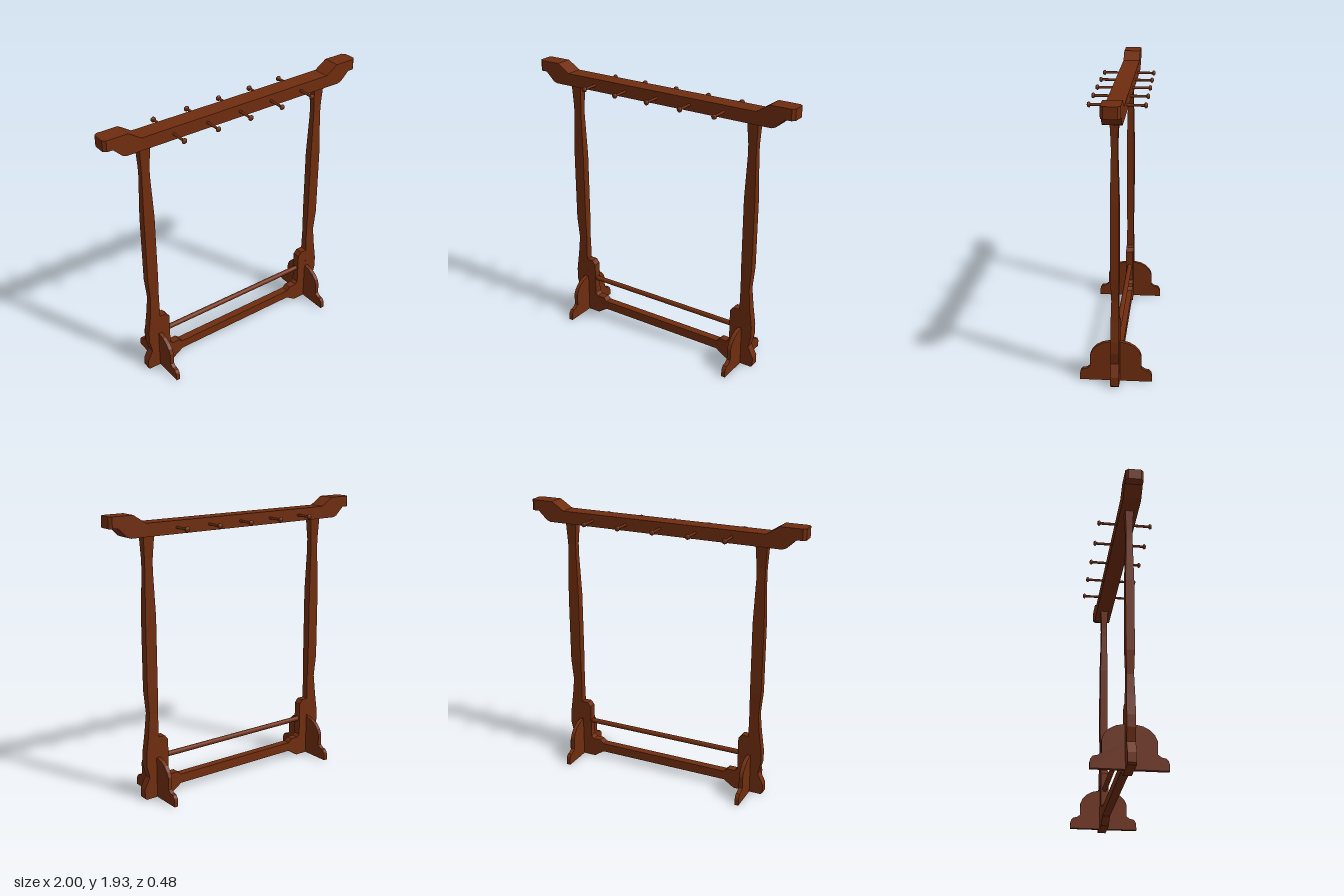
import * as THREE from 'three';

const wood = new THREE.MeshStandardMaterial({ color: 0x6f2d0f, flatShading: true });
const smoothWood = new THREE.MeshStandardMaterial({ color: 0x6f2d0f });

function addMesh(parent, name, geometry, material = wood) {
  const mesh = new THREE.Mesh(geometry, material);
  mesh.name = name;
  parent.add(mesh);
  return mesh;
}

// Joins four-cornered sections into a closed solid.
function loft(sections) {
  const pos = [];
  const quad = (a, b, c, d) => [a, b, c, a, c, d].forEach((p) => pos.push(...p));
  for (let i = 0; i < sections.length - 1; i++) {
    for (let j = 0; j < 4; j++) {
      const k = (j + 1) % 4;
      quad(sections[i][j], sections[i][k], sections[i + 1][k], sections[i + 1][j]);
    }
  }
  quad(...[...sections[0]].reverse());
  quad(...sections[sections.length - 1]);
  const g = new THREE.BufferGeometry();
  g.setAttribute('position', new THREE.Float32BufferAttribute(pos, 3));
  g.computeVertexNormals();
  return g;
}

// Extrudes half an outline mirrored about x = 0, centred in depth.
function mirroredSlab(half, depth) {
  const other = half.map(([x, y]) => [-x, y]).reverse();
  const shape = new THREE.Shape([...half, ...other].map(([x, y]) => new THREE.Vector2(x, y)));
  const g = new THREE.ExtrudeGeometry(shape, { depth, bevelEnabled: false });
  return g.translate(0, 0, -depth / 2);
}

export function createModel() {
  const rack = new THREE.Group();
  rack.name = 'hangingRack';

  // Top beam with raised ends: x, bottom, top, half depth
  const end = [
    [-1, 1.86, 1.935, 0.042],
    [-0.98, 1.86, 1.935, 0.06],
    [-0.94, 1.86, 1.935, 0.06],
    [-0.877, 1.8, 1.935, 0.06],
    [-0.85, 1.79, 1.935, 0.06],
    [-0.83, 1.79, 1.935, 0.06],
    [-0.74, 1.79, 1.877, 0.06],
  ];
  const stations = [...end, ...end.map(([x, ...r]) => [-x, ...r]).reverse()];
  addMesh(rack, 'topBeam', loft(stations.map(([x, lo, hi, z]) =>
    [[x, hi, -z], [x, hi, z], [x, lo, z], [x, lo, -z]])));

  // Shaped posts: y, inner x, outer x, half depth
  const postProfile = [
    [0, 0.663, 0.77, 0.028],
    [0.012, 0.663, 0.782, 0.028],
    [0.075, 0.663, 0.782, 0.028],
    [0.155, 0.663, 0.742, 0.028],
    [0.24, 0.663, 0.762, 0.028],
    [0.32, 0.663, 0.762, 0.028],
    [0.46, 0.663, 0.742, 0.027],
    [0.6, 0.663, 0.729, 0.023],
    [0.76, 0.663, 0.743, 0.028],
    [1.26, 0.663, 0.743, 0.028],
    [1.57, 0.675, 0.734, 0.021],
    [1.64, 0.674, 0.735, 0.021],
    [1.795, 0.663, 0.743, 0.028],
  ];

  // Half outline of a foot, from the floor up
  const footOutline = [
    [0.24, 0], [0.24, 0.04], [0.235, 0.06], [0.22, 0.078], [0.195, 0.082], [0.17, 0.1],
    [0.17, 0.185], [0.155, 0.22], [0.125, 0.253], [0.085, 0.275], [0.04, 0.285],
  ];

  for (const side of [-1, 1]) {
    const name = side > 0 ? 'left' : 'right';
    addMesh(rack, name + 'Post', loft(postProfile.map(([y, inner, outer, z]) => {
      const a = Math.max(side * inner, side * outer);
      const b = Math.min(side * inner, side * outer);
      return [[a, y, z], [a, y, -z], [b, y, -z], [b, y, z]];
    })));
    const foot = addMesh(rack, name + 'Foot', mirroredSlab(footOutline, 0.028));
    foot.rotation.y = Math.PI / 2;
    foot.position.x = side * 0.671;
  }

  // Lower stretcher and the stepped brackets beside the posts
  const stretcherHalf = [
    [0.49, 0.05], [0.565, 0], [0.67, 0], [0.67, 0.43], [0.615, 0.43], [0.59, 0.4],
    [0.59, 0.16], [0.57, 0.14], [0.515, 0.14], [0.49, 0.115],
  ];
  addMesh(rack, 'stretcherAndBrackets', mirroredSlab(stretcherHalf, 0.055));

  // Round rod between the brackets
  const rod = addMesh(rack, 'lowerRod', new THREE.CylinderGeometry(0.018, 0.018, 1.2, 16), smoothWood);
  rod.rotation.z = Math.PI / 2;
  rod.position.y = 0.279;

  // Pegs through the beam, with a rounded knob on each end
  const knobHalf = [
    [0, 0.19], [0.012, 0.188], [0.018, 0.181], [0.019, 0.175], [0.014, 0.169], [0.009, 0.167],
  ];
  const pegProfile = [...knobHalf.map(([r, y]) => [r, -y]), ...[...knobHalf].reverse()]
    .map(([r, y]) => new THREE.Vector2(r, y));
  const pegGeometry = new THREE.LatheGeometry(pegProfile, 12);
  for (let i = -2; i <= 2; i++) {
    const peg = addMesh(rack, 'peg' + (i + 3), pegGeometry, smoothWood);
    peg.rotation.x = Math.PI / 2;
    peg.position.set(i * 0.255, 1.832, 0);
  }

  return rack;
}
